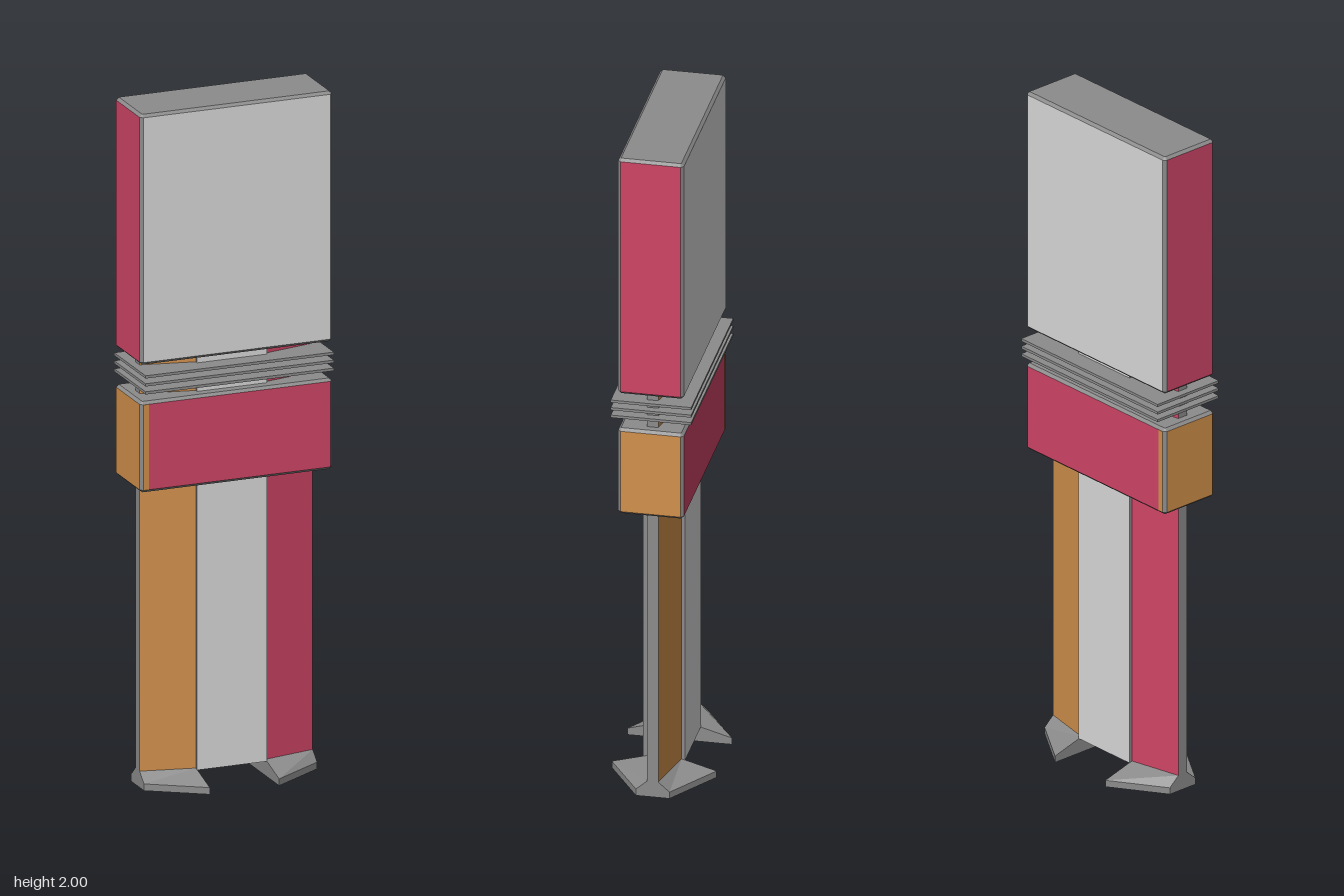
import * as THREE from 'three';

const mat = (name, color, side = THREE.FrontSide) => {
  const m = new THREE.MeshStandardMaterial({ color, side });
  m.name = name;
  return m;
};

// Joins rings of [x, z] points at rising heights; pick(segment, side) gives each side face's material index.
function loft(rings, pick = () => 0) {
  const pos = [], groups = [];
  const tri = (...p) => p.forEach(v => pos.push(...v));
  const at = (r, i) => {
    const [x, z] = r.pts[i % r.pts.length];
    return [x, r.y, z];
  };
  const cap = (r, flip) => {
    const start = pos.length / 3;
    for (let i = 1; i < r.pts.length - 1; i++) {
      const [a, b, c] = [at(r, 0), at(r, i), at(r, i + 1)];
      flip ? tri(a, c, b) : tri(a, b, c);
    }
    groups.push([start, pos.length / 3 - start, 0]);
  };
  for (let s = 0; s < rings.length - 1; s++) {
    const [lo, hi] = [rings[s], rings[s + 1]];
    for (let i = 0; i < lo.pts.length; i++) {
      const start = pos.length / 3;
      const [a, b, c, d] = [at(lo, i), at(lo, i + 1), at(hi, i + 1), at(hi, i)];
      tri(a, b, c, a, c, d);
      groups.push([start, 6, pick(s, i)]);
    }
  }
  cap(rings[0], true);
  cap(rings[rings.length - 1], false);
  const g = new THREE.BufferGeometry();
  g.setAttribute('position', new THREE.Float32BufferAttribute(pos, 3));
  groups.forEach(q => g.addGroup(...q));
  g.computeVertexNormals();
  return g;
}

// Rectangle with cut corners; even sides are the flats: -x, +z, +x, -z
const octagon = (w, d, c) => [
  [-w, -d + c], [-w, d - c], [-w + c, d], [w - c, d],
  [w, d - c], [w, -d + c], [w - c, -d], [-w + c, -d],
];

// Chamfered box: material 0 on trim, 1 on front and back, 2 on the ends
function cabinet(w, d, y0, y1, c) {
  const full = octagon(w, d, c), inset = octagon(w - c, d - c, c * 0.2);
  const rings = [[y0, inset], [y0 + c, full], [y1 - c, full], [y1, inset]]
    .map(([y, pts]) => ({ y, pts }));
  return loft(rings, (s, i) => (s !== 1 || i % 2 ? 0 : i % 4 === 2 ? 1 : 2));
}

export function createModel() {
  const grey = mat('frame grey', 0x8c8c8c);
  const light = mat('panel light grey', 0xdadada);
  const red = mat('crimson', 0xd04567);
  const orange = mat('orange', 0xd3914c);

  const model = new THREE.Group();
  model.name = 'signPylon';
  const add = (name, geo, material, parent = model) => {
    const m = new THREE.Mesh(geo, material);
    m.name = name;
    parent.add(m);
    return m;
  };
  const box = (name, size, [x, y, z], material) =>
    add(name, new THREE.BoxGeometry(...size), material).position.set(x, y, z);

  // Upper and lower sign boxes
  add('upperSign', cabinet(0.291, 0.094, 1.265, 2, 0.008), [grey, light, red]);
  add('lowerSign', cabinet(0.291, 0.094, 0.89, 1.157, 0.008), [grey, red, orange]);

  // Orange edge stripes on both faces of the lower box
  for (const z of [-0.094, 0.094])
    box('edgeStripe', [0.016, 0.251, 0.002], [-0.275, 1.0235, z], orange);

  // Thin fins between the boxes
  for (const y of [1.19, 1.2135, 1.237])
    box('fin', [0.57, 0.008, 0.23], [0, y, 0], grey);

  // Central panel with grey edges
  add('centrePanel', new THREE.BoxGeometry(0.212, 1.225, 0.12).translate(0, 0.6575, 0),
    [grey, grey, grey, grey, light, light]);

  // Wedge-shaped legs with flared feet, turned half round for the other side
  const section = (inner, outer) =>
    [[0.105, -inner], [0.105, inner], [0.262, outer], [0.262, -outer]];
  const legPts = section(0.05, 0.016), footPts = section(0.15, 0.048);
  for (const [side, turn] of [['left', 0], ['right', Math.PI]]) {
    const support = new THREE.Group();
    support.name = side + 'Support';
    support.rotation.y = turn;
    add('leg', loft([{ y: 0.045, pts: legPts }, { y: 1.268, pts: legPts }],
      (s, i) => [0, 1, 0, 2][i]), [grey, red, orange], support);
    add('foot', loft([{ y: 0, pts: footPts }, { y: 0.02, pts: footPts }, { y: 0.048, pts: legPts }]),
      [grey], support);
    model.add(support);
  }
  return model;
}
